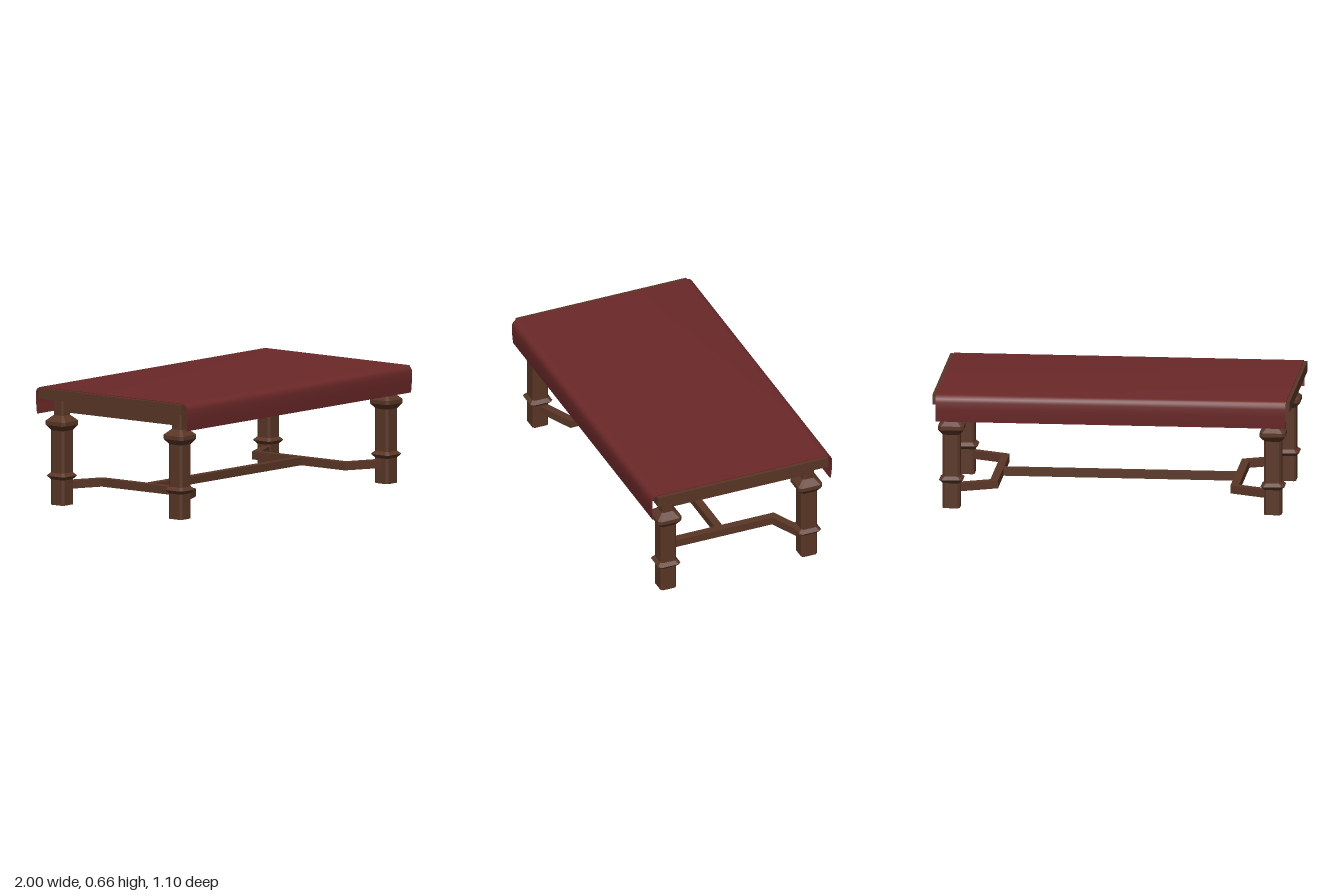
import * as THREE from 'three';
import { toCreasedNormals } from 'three/addons/utils/BufferGeometryUtils.js';

const wood = new THREE.MeshStandardMaterial({ color: 0x5a3626, flatShading: true });
const cloth = new THREE.MeshStandardMaterial({ color: 0x6b2828, side: THREE.DoubleSide });

const LEG_X = 0.9, LEG_Z = 0.427;

function add(parent, name, geometry, material = wood) {
  const mesh = new THREE.Mesh(geometry, material);
  mesh.name = name;
  parent.add(mesh);
  return mesh;
}

function box(parent, name, size, position) {
  add(parent, name, new THREE.BoxGeometry(...size)).position.set(...position);
}

// Square post with chamfered corners, lofted through [halfWidth, height] rings
function loftPost(profile) {
  const pos = [];
  const rings = profile.map(([h, y]) => {
    const k = h * 0.77;
    return [[h, k], [k, h], [-k, h], [-h, k], [-h, -k], [-k, -h], [k, -h], [h, -k]]
      .map(([x, z]) => [x, y, z]);
  });
  const tri = (a, b, c) => pos.push(...a, ...b, ...c);
  const last = rings[rings.length - 1];
  for (let i = 0; i < 8; i++) {
    const j = (i + 1) % 8;
    for (let r = 0; r < rings.length - 1; r++) {
      const lo = rings[r], hi = rings[r + 1];
      tri(lo[i], hi[i], hi[j]);
      tri(lo[i], hi[j], lo[j]);
    }
    tri([0, profile[0][1], 0], rings[0][i], rings[0][j]);
    tri([0, last[0][1], 0], last[j], last[i]);
  }
  const g = new THREE.BufferGeometry();
  g.setAttribute('position', new THREE.Float32BufferAttribute(pos, 3));
  g.computeVertexNormals();
  return g;
}

// Offsets an open 2D path sideways, with mitred corners
function offsetPath(path, d) {
  return path.map((p, i) => {
    const a = path[Math.max(i - 1, 0)], b = path[Math.min(i + 1, path.length - 1)];
    const n = [[a, p], [p, b]].filter(([s, e]) => s !== e).map(([s, e]) => {
      const t = e.clone().sub(s).normalize();
      return new THREE.Vector2(-t.y, t.x);
    });
    const m = n[0].clone().add(n[n.length - 1]).normalize();
    return p.clone().addScaledVector(m, d / m.dot(n[0]));
  });
}

function ribbon(path, thickness, depth) {
  const outline = [...offsetPath(path, thickness / 2), ...offsetPath(path, -thickness / 2).reverse()];
  return new THREE.ExtrudeGeometry(new THREE.Shape(outline), { depth, bevelEnabled: false });
}

export function createModel() {
  const model = new THREE.Group();
  model.name = 'table';

  // Table top
  box(model, 'tableTop', [2, 0.058, 1.034], [0, 0.629, 0]);

  // Cloth draped over the front and back edges
  const half = [[0.505, 0.659], [0.522, 0.657], [0.535, 0.65], [0.543, 0.638],
    [0.546, 0.62], [0.545, 0.58], [0.538, 0.51]];
  const drape = [...half.map(([z, y]) => [-z, y]).reverse(), ...half]
    .map(([z, y]) => new THREE.Vector2(z, y));
  const drapeGeometry = ribbon(drape, 0.007, 1.96);
  drapeGeometry.translate(0, 0, -0.98).rotateY(Math.PI / 2);
  add(model, 'tablecloth', toCreasedNormals(drapeGeometry, 0.7), cloth);

  // Legs with collars
  const legGeometry = loftPost([[0.048, 0], [0.048, 0.143], [0.067, 0.163], [0.048, 0.181],
    [0.048, 0.42], [0.072, 0.45], [0.072, 0.472], [0.035, 0.505], [0.035, 0.602]]);
  for (const sx of [1, -1]) for (const sz of [1, -1]) {
    add(model, `${sz > 0 ? 'front' : 'back'}${sx > 0 ? 'Left' : 'Right'}Leg`, legGeometry)
      .position.set(sx * LEG_X, 0, sz * LEG_Z);
  }

  // Apron rails under the top
  for (const s of [1, -1]) {
    box(model, s > 0 ? 'frontApron' : 'backApron', [2 * LEG_X, 0.077, 0.045], [0, 0.5635, s * LEG_Z]);
    box(model, s > 0 ? 'leftApron' : 'rightApron', [0.045, 0.077, 2 * LEG_Z], [s * LEG_X, 0.5635, 0]);
  }

  // Bent end stretchers, joined by a long centre bar
  const bend = [[0.9, 0.427], [0.673, 0.322], [0.673, -0.322], [0.9, -0.427]];
  const stretcherGeometry = ribbon(bend.map(([x, z]) => new THREE.Vector2(x, z)), 0.045, 0.045);
  stretcherGeometry.rotateX(-Math.PI / 2).translate(0, 0.088, 0);
  add(model, 'leftStretcher', stretcherGeometry);
  add(model, 'rightStretcher', stretcherGeometry).rotation.y = Math.PI;
  box(model, 'centreStretcher', [1.33, 0.044, 0.045], [0, 0.1105, 0]);

  return model;
}
